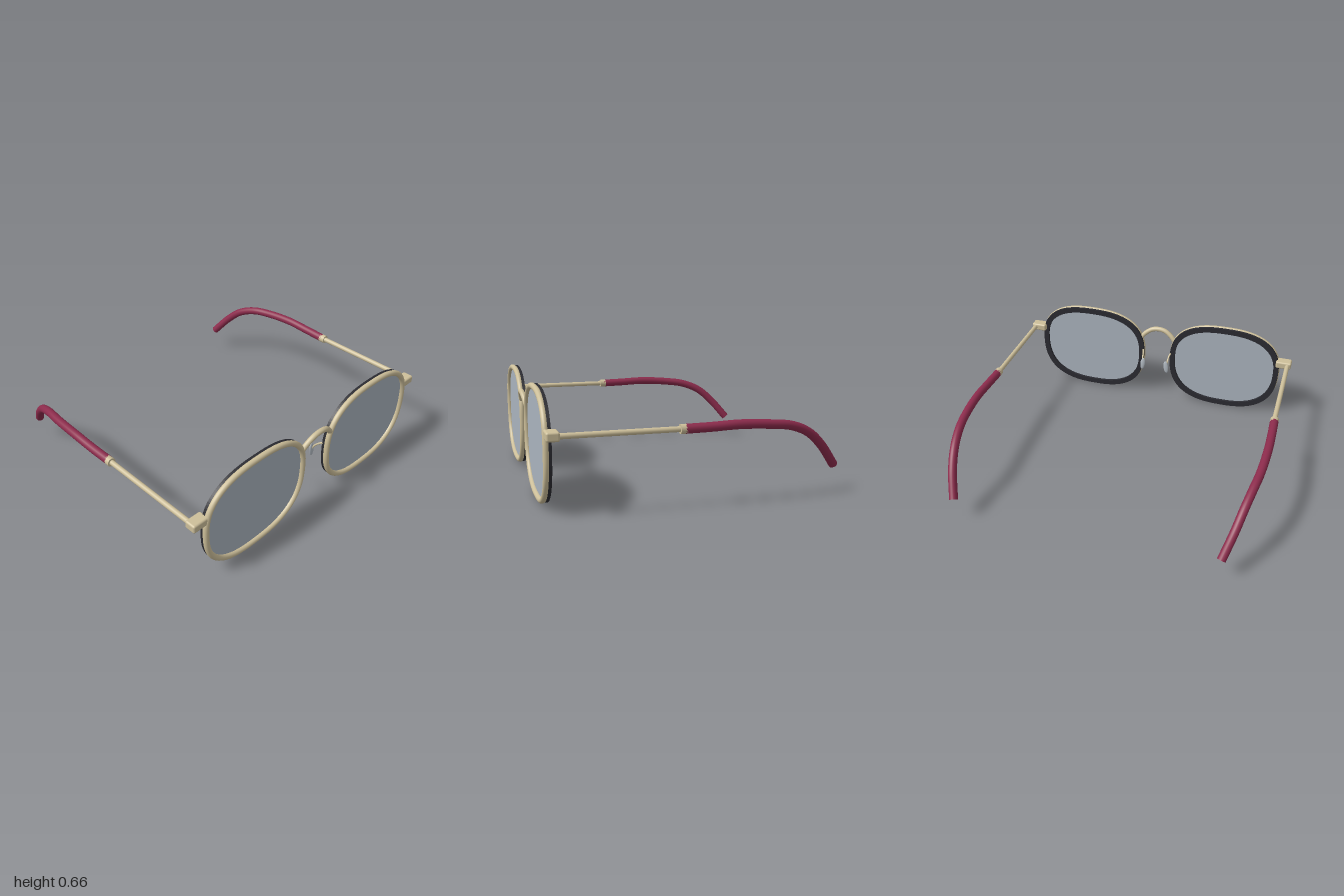
import * as THREE from 'three';
import { RoundedBoxGeometry } from 'three/addons/geometries/RoundedBoxGeometry.js';

const mat = (name, color) => Object.assign(new THREE.MeshStandardMaterial({ color }), { name });
const V = (x, y, z) => new THREE.Vector3(x, y, z);

export function createModel() {
  const gold = mat('pale gold', 0xcdbf9a);
  const burgundy = mat('burgundy', 0x8c2b4c);
  const black = mat('black', 0x2b2b31);
  const glass = mat('grey glass', 0xaab4be);
  const clear = mat('pad grey', 0xb4bcc4);

  const group = new THREE.Group();
  group.name = 'eyeglasses';

  const add = (name, geometry, material, x = 0, y = 0, z = 0) => {
    const mesh = new THREE.Mesh(geometry, material);
    mesh.name = name;
    mesh.position.set(x, y, z);
    group.add(mesh);
    return mesh;
  };
  const tube = (points, radius, segments = 32) =>
    new THREE.TubeGeometry(new THREE.CatmullRomCurve3(points), segments, radius, 16);

  // Rounded lens outline, widest slightly above its middle; inset shrinks it
  const outline = (inset, count = 96) => Array.from({ length: count }, (_, i) => {
    const a = (i / count) * Math.PI * 2;
    const c = Math.cos(a), s = Math.sin(a), e = 2 / 2.55;
    const h = s > 0 ? 0.293 : 0.333;
    return new THREE.Vector2(
      Math.sign(c) * Math.abs(c) ** e * (0.391 - inset),
      Math.sign(s) * Math.abs(s) ** e * (h - inset));
  });
  const plate = (shape, depth) => new THREE.ExtrudeGeometry(shape, { depth, bevelEnabled: false });

  const rimCurve = new THREE.CatmullRomCurve3(outline(0).map(p => V(p.x, p.y, 0)), true);
  const rimGeometry = new THREE.TubeGeometry(rimCurve, 128, 0.018, 16, true);
  const linerShape = new THREE.Shape(outline(-0.013));
  linerShape.holes.push(new THREE.Path(outline(0.024)));
  const linerGeometry = plate(linerShape, 0.024);
  const lensGeometry = plate(new THREE.Shape(outline(0.015)), 0.008);

  for (const s of [-1, 1]) {
    const side = s > 0 ? 'left' : 'right';

    // Rim, dark rear liner and lens
    add(`${side}Rim`, rimGeometry, gold, s * 0.505, 0.35, 0.857);
    add(`${side}Liner`, linerGeometry, black, s * 0.505, 0.35, 0.828);
    add(`${side}Lens`, lensGeometry, glass, s * 0.505, 0.35, 0.846);

    // Hinge block and straight metal temple
    add(`${side}Hinge`, new RoundedBoxGeometry(0.108, 0.052, 0.073, 3, 0.012), gold, s * 0.937, 0.45, 0.833);
    const rod = add(`${side}Temple`, new THREE.CylinderGeometry(0.016, 0.016, 0.7, 20), gold, s * 0.965, 0.45, 0.46);
    rod.rotation.x = Math.PI / 2;
    const collar = add(`${side}Collar`, new THREE.CylinderGeometry(0.027, 0.027, 0.04, 24), gold, s * 0.966, 0.45, 0.128);
    collar.rotation.x = Math.PI / 2;

    // Curved sleeve that drops behind the ear and bends inwards
    const path = new THREE.CatmullRomCurve3([
      [0.966, 0.45, 0.12], [0.97, 0.453, -0.03], [0.97, 0.458, -0.2], [0.957, 0.445, -0.4],
      [0.937, 0.426, -0.53], [0.912, 0.376, -0.65], [0.885, 0.29, -0.75], [0.84, 0.155, -0.862],
    ].map(([x, y, z]) => V(s * x, y, z)));
    add(`${side}Sleeve`, new THREE.TubeGeometry(path, 64, 0.027, 20), burgundy);
    const cap = add(`${side}SleeveEnd`, new THREE.CircleGeometry(0.027, 20), burgundy);
    cap.position.copy(path.getPoint(1));
    cap.quaternion.setFromUnitVectors(V(0, 0, 1), path.getTangent(1));

    // Nose pad on a thin arm
    add(`${side}PadArm`, tube([
      V(s * 0.112, 0.39, 0.845), V(s * 0.101, 0.375, 0.815), V(s * 0.095, 0.34, 0.78), V(s * 0.092, 0.31, 0.764),
    ], 0.006, 16), gold);
    const pad = add(`${side}NosePad`, new THREE.SphereGeometry(1, 24, 16), clear, s * 0.09, 0.303, 0.762);
    pad.scale.set(0.018, 0.05, 0.008);
    pad.rotation.z = s * 0.12;
  }

  // Arched bridge bowing forward
  add('bridge', tube([
    V(-0.125, 0.48, 0.857), V(-0.095, 0.513, 0.864), V(-0.05, 0.543, 0.871), V(0, 0.552, 0.873),
    V(0.05, 0.543, 0.871), V(0.095, 0.513, 0.864), V(0.125, 0.48, 0.857),
  ], 0.017, 40), gold);

  return group;
}
